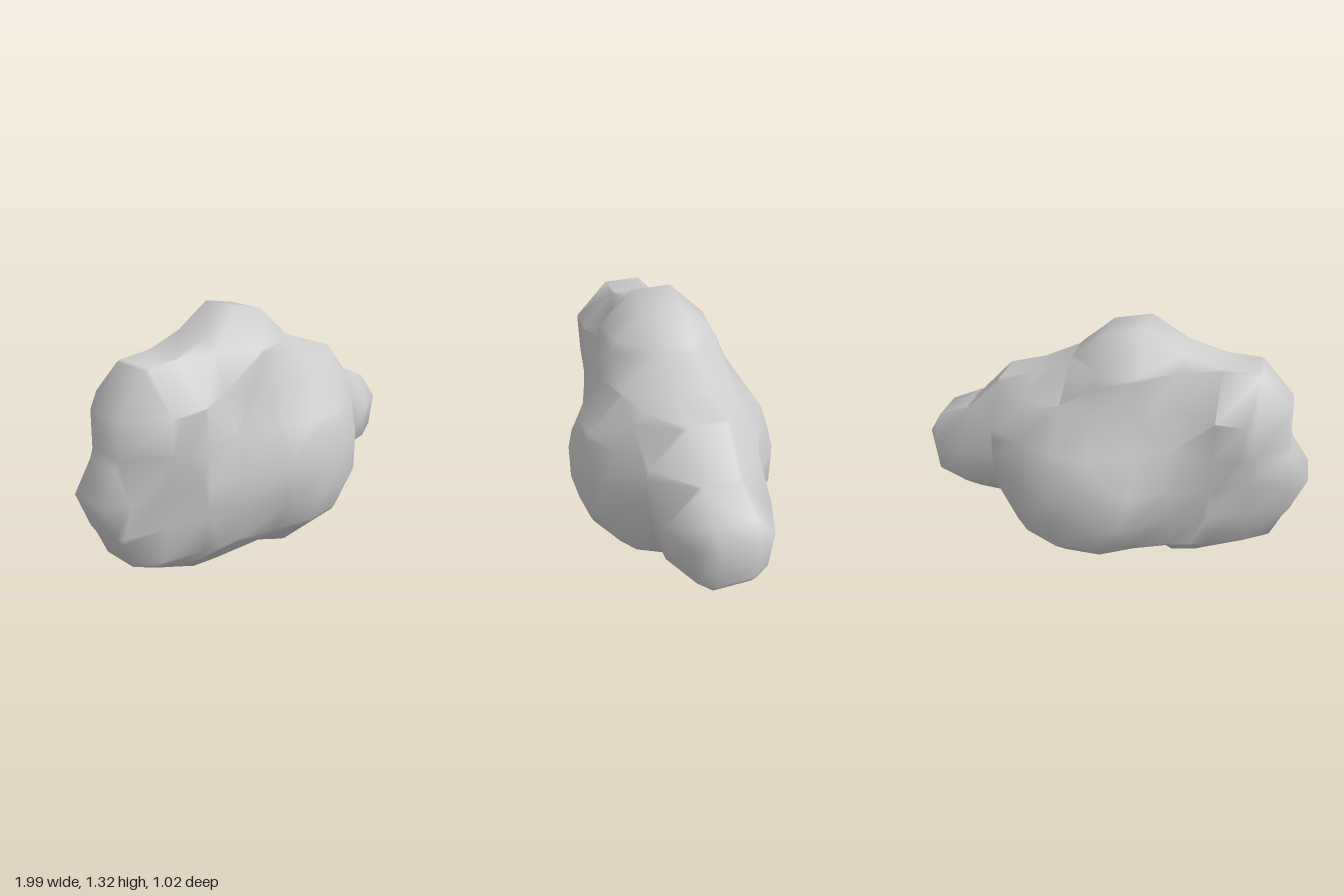
import * as THREE from 'three';
import { mergeVertices } from 'three/addons/utils/BufferGeometryUtils.js';

// Puffs of the cloud, all on the z = 0 plane: [x, y, radius]
const PUFFS = [
  [0.11, 0.51, 0.526],     // main body
  [-0.36, 0.6, 0.34],      // middle left
  [0.40, 0.73, 0.315],     // upper right shoulder
  [0.755, 0.53, 0.27],     // right knob
  [-0.126, 1.047, 0.29],   // crown
  [0, 0.88, 0.32],         // base of the crown
  [-0.6, 0.885, 0.296],    // upper left
  [-0.815, 0.57, 0.198],   // left knob
  [-0.70, 0.345, 0.2],     // lower left
  [-0.38, 0.32, 0.294],    // bottom left
];
const BLEND = 0.1;

// Coarse lattice that gives the surface its broad facets
const CELL = 0.183;
const START = new THREE.Vector3(-1.2605, -0.129, -0.6405);
const COUNT = [13, 9, 7];

// Cube corners are numbered by bits x = 1, y = 2, z = 4; faces run counterclockwise
const FACES = [
  [0, 4, 6, 2], [1, 3, 7, 5],
  [0, 1, 5, 4], [2, 6, 7, 3],
  [0, 2, 3, 1], [4, 5, 7, 6],
];

// Distance to the softly blended puffs
function distance(p) {
  let d = Infinity;
  for (const [x, y, r] of PUFFS) {
    const e = Math.hypot(p.x - x, p.y - y, p.z) - r;
    const h = Math.max(BLEND - Math.abs(d - e), 0) / BLEND;
    d = Math.min(d, e) - h * h * BLEND * 0.25;
  }
  return d;
}

// Point where an edge from inside to outside meets the surface
function crossing(inside, outside) {
  const a = inside.clone(), b = outside.clone();
  for (let i = 0; i < 14; i++) {
    const middle = a.clone().lerp(b, 0.5);
    (distance(middle) < 0 ? a : b).copy(middle);
  }
  return a;
}

// Adds the polygons that the surface cuts through one lattice cell
function addCell(i, j, k, positions) {
  const corners = [];
  for (let c = 0; c < 8; c++) {
    const corner = new THREE.Vector3(i + (c & 1), j + ((c >> 1) & 1), k + (c >> 2));
    corners.push(corner.multiplyScalar(CELL).add(START));
  }
  const inside = corners.map((p) => distance(p) < 0);

  // On each face, link the edge leaving the cloud to the next edge entering it
  const links = new Map();
  for (const face of FACES) {
    for (let s = 0; s < 4; s++) {
      const from = face[s], to = face[(s + 1) % 4];
      if (!inside[from] || inside[to]) continue;
      let e = s + 1;
      while (!inside[face[(e + 1) % 4]]) e++;
      links.set(from * 8 + to, face[(e + 1) % 4] * 8 + face[e % 4]);
    }
  }

  // Follow the links into closed loops and fill each with a fan
  while (links.size) {
    const loop = [];
    let edge = links.keys().next().value;
    while (links.has(edge)) {
      loop.push(crossing(corners[edge >> 3], corners[edge & 7]));
      const next = links.get(edge);
      links.delete(edge);
      edge = next;
    }
    for (let n = 1; n < loop.length - 1; n++) {
      for (const p of [loop[0], loop[n + 1], loop[n]]) positions.push(p.x, p.y, p.z);
    }
  }
}

function buildCloudGeometry() {
  const positions = [];
  for (let i = 0; i < COUNT[0]; i++) {
    for (let j = 0; j < COUNT[1]; j++) {
      for (let k = 0; k < COUNT[2]; k++) addCell(i, j, k, positions);
    }
  }
  const soup = new THREE.BufferGeometry();
  soup.setAttribute('position', new THREE.Float32BufferAttribute(positions, 3));
  const geometry = mergeVertices(soup, 1e-3);
  geometry.computeVertexNormals();
  return geometry;
}

export function createModel() {
  const group = new THREE.Group();
  group.name = 'cloud';
  const paleGrey = new THREE.MeshStandardMaterial({ color: 0xcccccc });
  paleGrey.name = 'paleGrey';

  const body = new THREE.Mesh(buildCloudGeometry(), paleGrey);
  body.name = 'cloudBody';
  group.add(body);
  return group;
}
